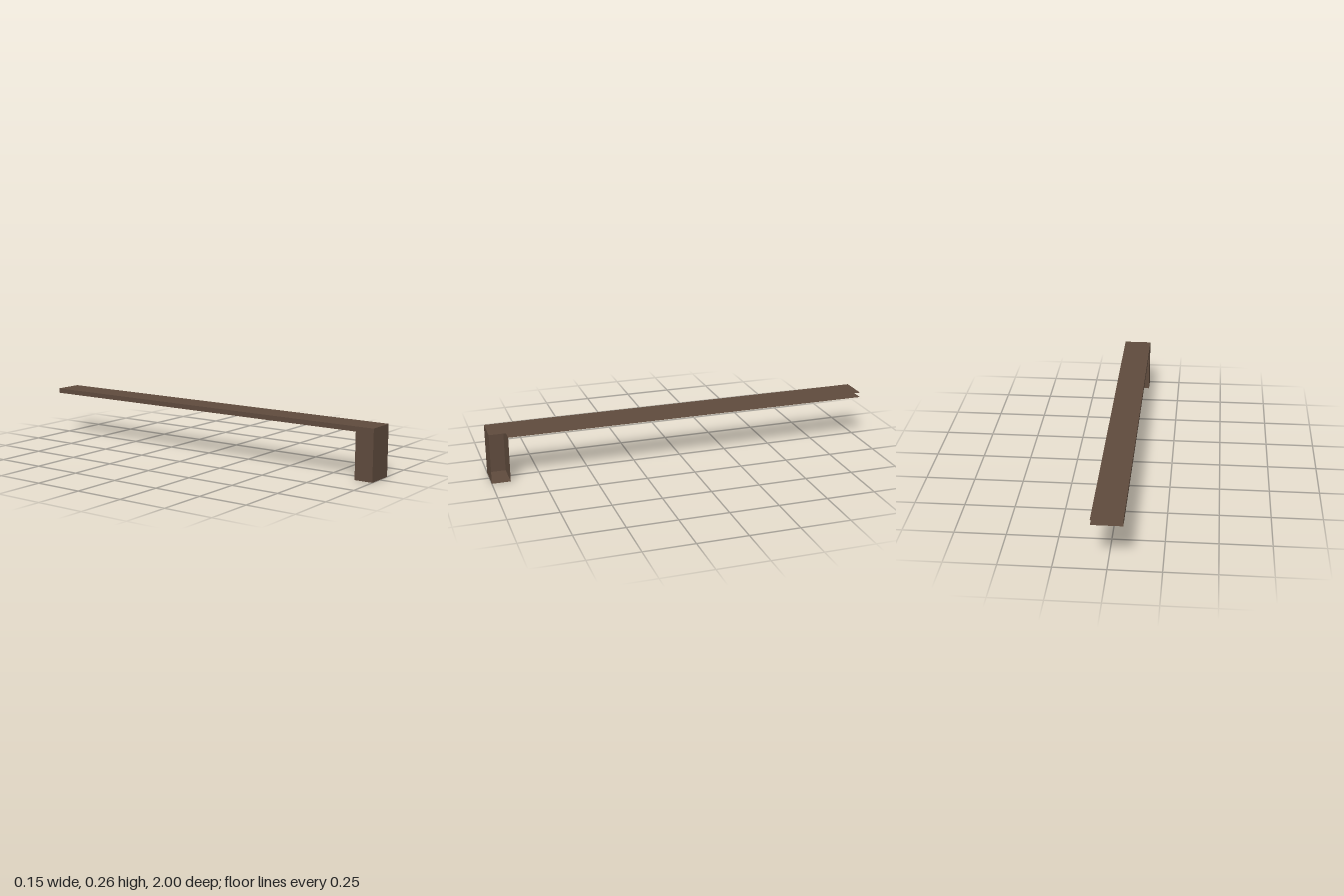
import * as THREE from 'three';

const WIDTH = 0.148;

// Side outline as [z, y], running round from the lower back corner
const OUTLINE = [[-1, 0.233], [0.906, 0.233], [0.906, 0], [1, 0], [1, 0.258], [-1, 0.258]];
const PANEL_NAMES = ['barUnderside', 'legBack', 'legBottom', 'legFront', 'barTop'];

export function createModel() {
  const group = new THREE.Group();
  group.name = 'bracket';
  const brown = new THREE.MeshStandardMaterial({ color: 0x5f4b3d, side: THREE.DoubleSide });
  brown.name = 'brown';

  const add = (name, geometry) => {
    const mesh = new THREE.Mesh(geometry, brown);
    mesh.name = name;
    group.add(mesh);
    return mesh;
  };

  // Flat panels along the outline; the back end stays open
  PANEL_NAMES.forEach((name, i) => {
    const [z0, y0] = OUTLINE[i];
    const [z1, y1] = OUTLINE[i + 1];
    const panel = new THREE.PlaneGeometry(WIDTH, Math.hypot(z1 - z0, y1 - y0));
    panel.rotateX(Math.atan2(z1 - z0, y1 - y0));
    add(name, panel).position.set(0, (y0 + y1) / 2, (z0 + z1) / 2);
  });

  // One closed side wall; the opposite side stays open
  const shape = new THREE.Shape(OUTLINE.map(([z, y]) => new THREE.Vector2(z, y)));
  const wall = new THREE.ShapeGeometry(shape).rotateY(-Math.PI / 2);
  add('sideWall', wall).position.x = -WIDTH / 2;

  return group;
}
